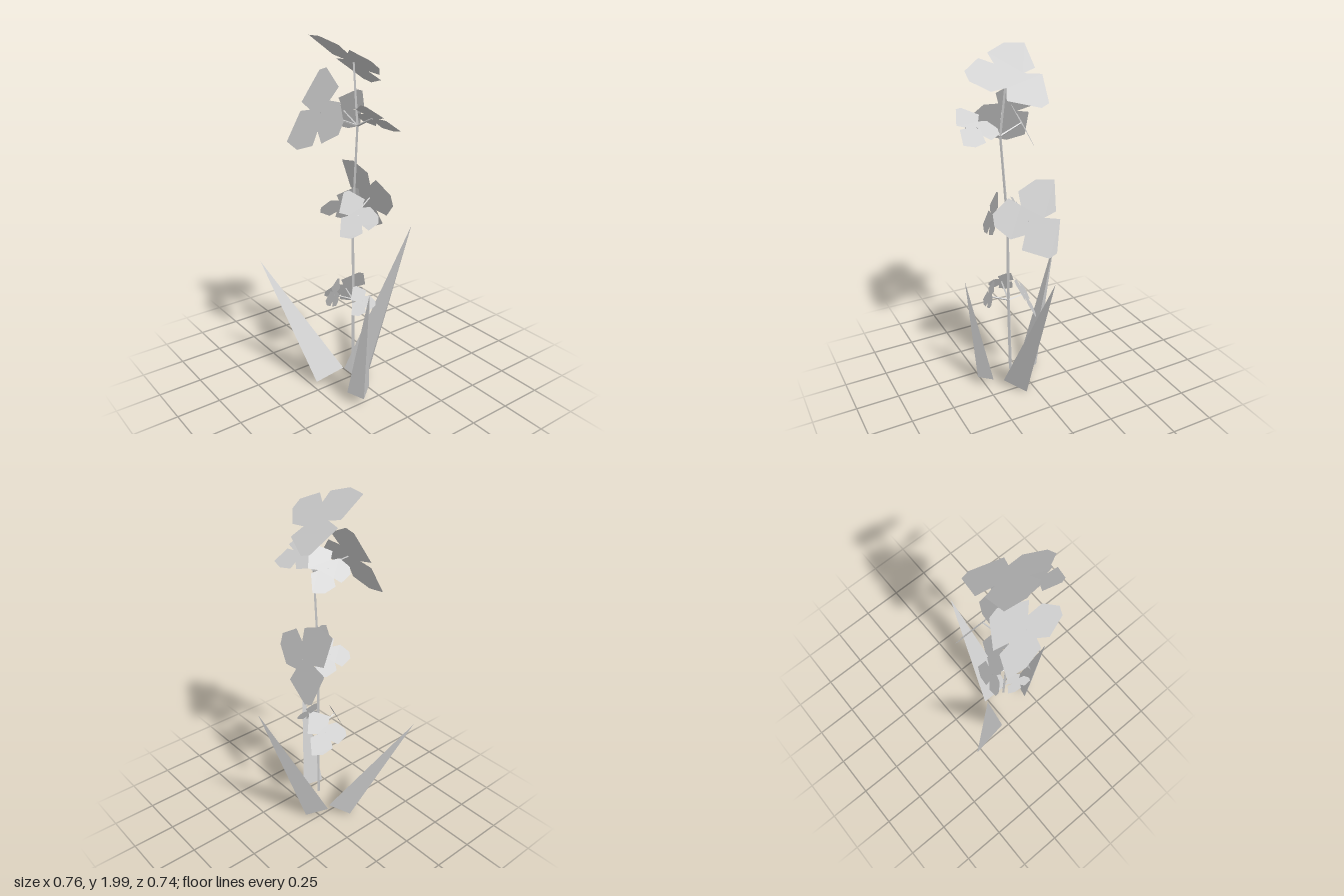
import * as THREE from 'three';
import { ConvexGeometry } from 'three/addons/geometries/ConvexGeometry.js';

const V = (a) => new THREE.Vector3(...a);

export function createModel() {
  const group = new THREE.Group();
  const solid = new THREE.MeshStandardMaterial({ color: 0xcccccc, flatShading: true });
  const thin = new THREE.MeshStandardMaterial({ color: 0xcccccc, flatShading: true, side: THREE.DoubleSide });

  function add(name, geometry, material) {
    const mesh = new THREE.Mesh(geometry, material);
    mesh.name = name;
    group.add(mesh);
    return mesh;
  }

  // Tapered straight stalk between two points
  function stalk(name, from, to, r0, r1) {
    const a = V(from), b = V(to), dir = b.clone().sub(a);
    const mesh = add(name, new THREE.CylinderGeometry(r1, r0, dir.length(), 4), solid);
    mesh.position.copy(a).add(b).multiplyScalar(0.5);
    mesh.quaternion.setFromUnitVectors(new THREE.Vector3(0, 1, 0), dir.normalize());
  }

  // Grass blades: three-sided spikes, tip first, then the base corners
  const blades = [
    [[0.38, 0.895, 0.057], [0.063, 0.005, 0.06], [-0.04, 0.055, 0.16], [-0.04, 0.055, -0.03]],
    [[-0.38, 0.72, -0.367], [-0.23, 0.03, -0.04], [-0.145, 0.015, -0.115], [-0.055, 0.07, -0.02]],
    [[-0.145, 0.727, 0.34], [-0.183, 0.07, 0.195], [-0.052, 0.073, 0.222], [-0.137, 0.057, 0.287]],
  ];
  for (const corners of blades) add('grassBlade', new ConvexGeometry(corners.map(V)), solid);

  // Main stem in slightly bent segments
  const stem = [[-0.073, 0.1, 0.1], [-0.075, 0.58, 0.105], [-0.075, 1.06, 0.103], [-0.073, 1.56, 0.138], [-0.068, 1.865, 0.1]];
  for (let i = 0; i < stem.length - 1; i++) {
    stalk('stem', stem[i], stem[i + 1], 0.01 - i * 0.001, 0.009 - i * 0.001);
  }

  // Three-lobed flat leaf: x runs along the middle lobe, the origin is the rear notch
  const outline = [
    [0, 0], [-0.095, 0.025], [-0.05, 0.206], [0, 0.225], [0.155, 0.145], [0.125, 0.07],
    [0.21, 0.075], [0.29, -0.01], [0.29, -0.075], [0.19, -0.14], [0.125, -0.09],
    [0.13, -0.165], [0.02, -0.21], [-0.09, -0.19], [-0.075, -0.02],
  ];
  const leafGeometry = new THREE.ShapeGeometry(new THREE.Shape(outline.map(([x, y]) => new THREE.Vector2(x, y))));

  function leaf(origin, normal, along, size, node) {
    const p = V(along).normalize();
    const q = new THREE.Vector3().crossVectors(V(normal), p).normalize();
    const n = new THREE.Vector3().crossVectors(p, q);
    const mesh = add('leaf', leafGeometry, thin);
    mesh.quaternion.setFromRotationMatrix(new THREE.Matrix4().makeBasis(p, q, n));
    mesh.position.set(...origin);
    mesh.scale.setScalar(size);
    // Leaf stalk from the stem node to the heart of the leaf
    if (node) {
      const heart = p.multiplyScalar(0.09 * size).add(mesh.position);
      stalk('leafStalk', stem[node], heart.toArray(), 0.006, 0.004);
    }
  }

  // Crown leaf
  leaf([-0.06, 1.87, 0.01], [0.6, 0.8, 0], [0, -0.06, 1], 1);
  // Upper whorl: left, front, back
  leaf([-0.235, 1.63, -0.04], [-0.89, 0.46, 0], [0, 0, 1], 1, 3);
  leaf([-0.08, 1.625, 0.315], [0.6, 0.78, -0.1], [0, -0.12, -1], 0.57, 3);
  leaf([-0.02, 1.615, 0.035], [0.3, 0.47, -0.83], [-0.94, 0, -0.34], 0.58, 3);
  // Middle whorl: right, front, back
  leaf([0.078, 1.125, -0.04], [0.96, 0.28, 0], [0, 0, 1], 1, 2);
  leaf([-0.15, 1.11, 0.17], [-0.25, 0.32, 0.91], [0.95, -0.12, 0.27], 0.57, 2);
  leaf([-0.04, 1.11, 0.035], [0.3, 0.47, -0.83], [-0.94, 0, -0.34], 0.56, 2);
  // Lower whorl: left, front, back
  leaf([-0.18, 0.638, 0.06], [-0.85, 0.45, -0.3], [-0.33, 0, 0.94], 0.38, 1);
  leaf([-0.125, 0.625, 0.205], [-0.25, 0.4, 0.88], [0.95, -0.12, 0.27], 0.37, 1);
  leaf([-0.005, 0.605, 0.03], [0.3, 0.47, -0.83], [-0.94, 0, -0.34], 0.6, 1);

  return group;
}
